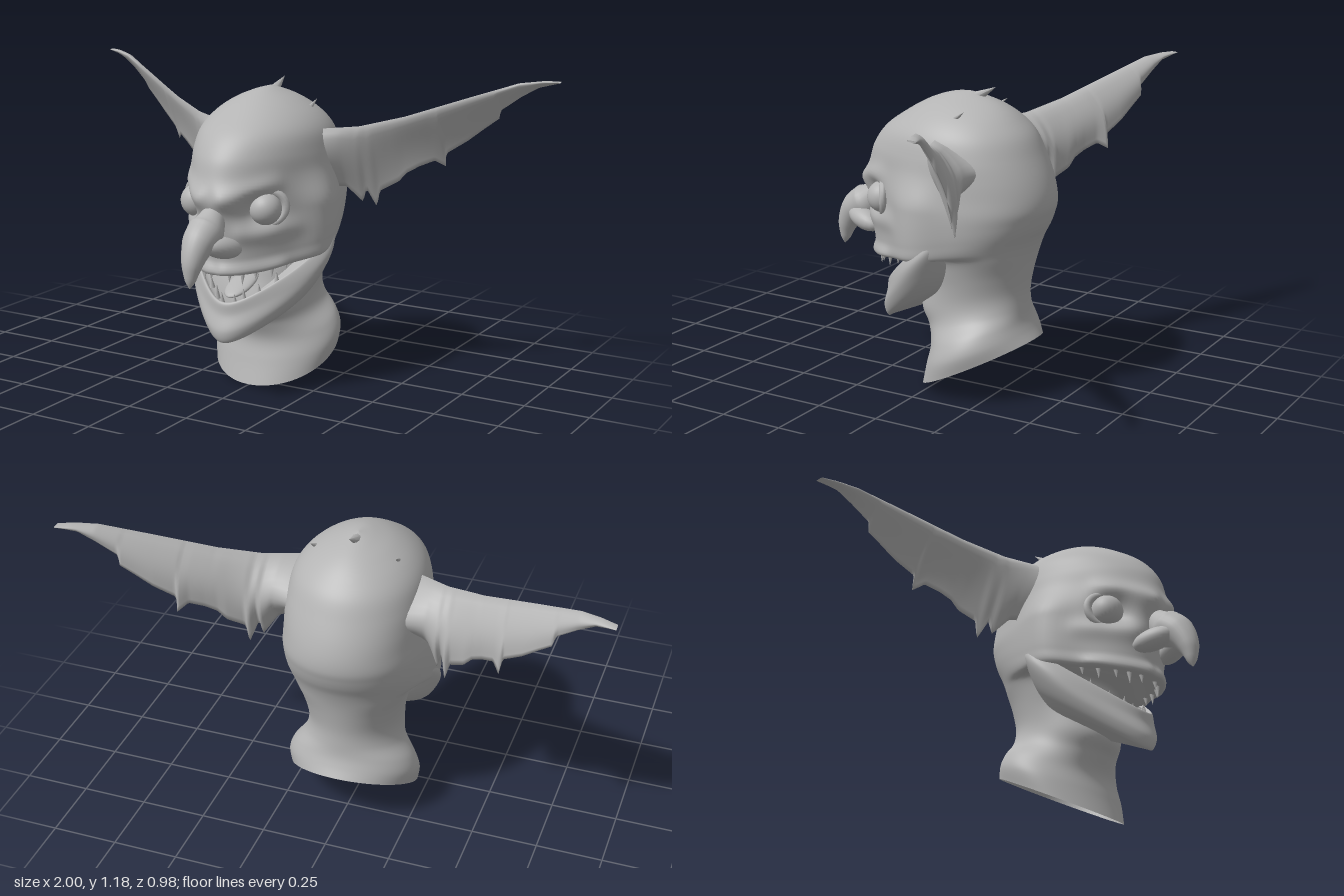
import * as THREE from 'three';

const skin = new THREE.MeshStandardMaterial({ color: 0xb4b4b4, side: THREE.DoubleSide });
skin.name = 'grey skin';

const V = (x, y, z) => new THREE.Vector3(x, y, z);

// A ring row is [front y, front z, back y, back z, half width, egg taper]
function ringPoint([fy, fz, by, bz, w, k], a) {
  const c = Math.cos(a), t = (1 - c) / 2;
  return V(w * Math.sin(a) * (1 - k * c), fy + (by - fy) * t, fz + (bz - fz) * t);
}

// Smooth in-between row at f (0..1)
function rowAt(rows, f) {
  const s = f * (rows.length - 1), i = Math.min(Math.floor(s), rows.length - 2), t = s - i;
  const r = n => rows[Math.max(0, Math.min(rows.length - 1, n))];
  return rows[0].map((_, n) => {
    const a = r(i - 1)[n], b = r(i)[n], c = r(i + 1)[n], d = r(i + 2)[n];
    return b + 0.5 * t * (c - a + t * (2 * a - 5 * b + 4 * c - d + t * (3 * (b - c) + d - a)));
  });
}

// Skin a grid of points; each ring is closed on itself
function skinGrid(rings) {
  const n = rings[0].length, pos = [], idx = [];
  rings.forEach(r => r.forEach(p => pos.push(p.x, p.y, p.z)));
  for (let i = 0; i < rings.length - 1; i++) for (let j = 0; j < n; j++) {
    const a = i * n + j, b = i * n + (j + 1) % n;
    idx.push(a, b, a + n, b, b + n, a + n);
  }
  const g = new THREE.BufferGeometry();
  g.setAttribute('position', new THREE.Float32BufferAttribute(pos, 3));
  g.setIndex(idx);
  g.computeVertexNormals();
  return g;
}

function loft(rows, steps, sides, shape = p => p) {
  const rings = [];
  for (let i = 0; i <= steps; i++) {
    const row = rowAt(rows, i / steps), ring = [];
    for (let j = 0; j < sides; j++) ring.push(shape(ringPoint(row, j / sides * Math.PI * 2)));
    rings.push(ring);
  }
  return skinGrid(rings);
}

// Soft ridges and hollows of the face: [from, to, radius, height]
const features = [
  [V(.145, .745, .24), V(.16, .745, .23), .06, -.045],
  [V(.05, .785, .32), V(.21, .84, .19), .035, .018],
  [V(.1, .655, .27), V(.24, .67, .12), .04, .014],
  [V(.03, .515, .28), V(.2, .53, .15), .025, .01],
  [V(.25, .74, -.02), V(.26, .56, -.02), .1, .042],
].map(([a, b, r, h]) => ({ line: new THREE.Line3(a, b), r, h }));

function sculpt(p) {
  const q = V(Math.abs(p.x), p.y, p.z), near = V(0, 0, 0);
  const out = V(p.x, 0, p.z + .05).normalize();
  let push = 0;
  for (const { line, r, h } of features) {
    line.closestPointToPoint(q, true, near);
    push += h * Math.exp(-near.distanceToSquared(q) / (r * r));
  }
  return p.addScaledVector(out, push);
}

const upperLip = [.495, .28, .62, -.39, .248, .14];
const headRows = [
  [.01, .06, .235, -.385, .245, 0], [.1, .035, .27, -.365, .255, 0], [.18, .02, .31, -.35, .235, 0],
  [.25, .045, .36, -.345, .19, 0], [.32, .08, .42, -.345, .178, 0], [.45, .05, .49, -.355, .19, 0],
  [.55, .055, .56, -.37, .215, .05], upperLip, [.55, .29, .67, -.415, .258, .14],
  [.62, .3, .71, -.43, .262, .15], [.7, .315, .75, -.44, .262, .17], [.78, .337, .8, -.437, .258, .18],
  [.86, .315, .86, -.42, .255, .17], [.93, .29, .93, -.39, .25, .15], [1, .235, 1, -.355, .232, .1],
  [1.06, .15, 1.05, -.31, .19, .05], [1.11, .06, 1.09, -.26, .125, 0], [1.14, -.03, 1.12, -.2, .055, 0],
  [1.148, -.11, 1.148, -.11, 0, 0],
];

// Lower jaw: underside, chin, lip, then down inside to the mouth floor
const lowerLip = [.376, .225, .7, -.18, .244, .45];
const jawRows = [
  [.3, .08, .42, -.12, 0, .45], [.24, .22, .45, -.13, .155, .45], [.228, .25, .52, -.16, .215, .45],
  [.27, .262, .6, -.18, .255, .45], [.33, .243, .67, -.19, .274, .45], [.372, .24, .72, -.19, .258, .45],
  lowerLip, [.345, .195, .66, -.15, .22, .45], [.33, .1, .5, -.12, 0, .45],
];

// Linear lookup in [x, y] pairs
function lookup(pts, x) {
  let i = 0;
  while (i < pts.length - 2 && x > pts[i + 1][0]) i++;
  const [x0, y0] = pts[i], [x1, y1] = pts[i + 1];
  return y0 + (y1 - y0) * (x - x0) / (x1 - x0);
}

const earTop = [[.2, 1], [.35, 1.012], [.5, 1.05], [.7, 1.12], [.87, 1.178], [.95, 1.187], [1, 1.186]];
const earBottom = [[.2, .78], [.29, .775], [.335, .712], [.35, .765], [.375, .69], [.39, .755], [.45, .79],
  [.48, .825], [.52, .85], [.57, .872], [.6, .848], [.608, .9], [.68, .95], [.74, 1], [.787, 1.037],
  [.797, 1.07], [.87, 1.125], [.93, 1.16], [1, 1.178]];

// Webbed ear: a rib along the top, thinning to a ragged lower edge
function earGeometry() {
  const rings = [], steps = 120, n = 12;
  for (let i = 0; i <= steps; i++) {
    const x = .2 + .8 * i / steps, top = lookup(earTop, x), bottom = lookup(earBottom, x);
    const root = Math.max(0, 1 - (x - .2) / .25) ** 2, ring = [];
    for (let j = 0; j < 2 * n; j++) {
      const front = j < n, v = front ? j / n : (2 * n - j) / n;
      const y = top + (bottom - top) * v, drop = top - y;
      const rib = Math.sqrt(Math.max(0, v * (1 - v))) * (1 - v) * .06 * (1.2 - x * .7);
      const thick = rib + Math.sin(Math.PI * v) * (.008 + (front ? .07 : .13) * root);
      const cup = -.02 * Math.sin(Math.PI * v) * Math.min(1, (1 - x) * 2);
      const z = -.09 - .5 * (x - .23) - drop * (.25 + .7 * (x - .3)) + cup;
      ring.push(V(x, y, z + (front ? thick : -thick)));
    }
    rings.push(ring);
  }
  return skinGrid(rings);
}

// Hooked nose: circles along a curve with changing radius
function noseGeometry() {
  const path = new THREE.CatmullRomCurve3([V(0, .76, .27), V(0, .68, .345), V(0, .64, .405),
    V(0, .575, .448), V(0, .485, .467)]);
  const radii = [[0, .03], [.3, .07], [.52, .06], [.78, .038], [.94, .018], [1, .001]];
  const rings = [];
  for (let i = 0; i <= 28; i++) {
    const u = i / 28, c = path.getPoint(u), t = path.getTangent(u), r = lookup(radii, u);
    const up = V(0, -t.z, t.y), ring = [];
    for (let j = 0; j < 24; j++) {
      const a = j / 24 * Math.PI * 2;
      ring.push(c.clone().addScaledVector(up, -r * Math.sin(a)).add(V(r * Math.cos(a), 0, 0)));
    }
    rings.push(ring);
  }
  return skinGrid(rings);
}

export function createModel() {
  const model = new THREE.Group();
  model.name = 'goblinHead';
  const add = (name, geometry, parent = model) => {
    const m = new THREE.Mesh(geometry, skin);
    m.name = name;
    parent.add(m);
    return m;
  };
  const spike = (name, from, to, r, parent) => {
    const d = to.clone().sub(from), m = add(name, new THREE.ConeGeometry(r, d.length(), 8), parent);
    m.position.copy(from).addScaledVector(d, .5);
    m.quaternion.setFromUnitVectors(V(0, 1, 0), d.normalize());
  };

  add('headAndNeck', loft(headRows, 126, 112, sculpt));
  add('lowerJaw', loft(jawRows, 64, 80));
  add('nose', noseGeometry());

  const tongue = add('tongue', new THREE.SphereGeometry(1, 24, 16));
  tongue.scale.set(.05, .018, .1);
  tongue.position.set(0, .425, .11);
  tongue.rotation.x = .35;

  // Paired parts
  const ear = earGeometry();
  for (const s of [1, -1]) {
    const side = s > 0 ? 'left' : 'right';
    add(side + 'Ear', ear).scale.x = s;

    const wing = add(side + 'Nostril', new THREE.SphereGeometry(1, 20, 14));
    wing.scale.set(.046, .04, .085);
    wing.position.set(s * .055, .615, .335);
    wing.rotation.set(-.25, -s * .35, 0);

    const eye = new THREE.Group();
    eye.name = side + 'Eye';
    eye.position.set(s * .147, .742, .187);
    eye.rotation.set(0, s * .55, s * .3);
    model.add(eye);
    add('eyeball', new THREE.SphereGeometry(.061, 28, 20), eye);
    const lid = add('eyelid', new THREE.TorusGeometry(.066, .014, 10, 32), eye);
    lid.scale.set(1.15, .95, 1);

    spike(side + 'Horn', V(s * .145, 1.04, -.09), V(s * .163, 1.1, -.17), .02);
  }
  spike('middleHorn', V(0, 1.12, -.12), V(0, 1.17, -.21), .024);

  // Teeth set just inside each lip
  const teeth = new THREE.Group();
  teeth.name = 'teeth';
  model.add(teeth);
  const row = (name, lip, angles, dir) => angles.forEach(([a, h]) => [1, -1].forEach(s => {
    const p = ringPoint(lip, s * a);
    p.x *= .92;
    p.z -= .015;
    spike(name, p.clone().add(V(0, -dir * .015, 0)), p.clone().add(V(0, dir * h, .004)), .012, teeth);
  }));
  row('upperTooth', upperLip, [[.2, .03], [.42, .045], [.62, .03], [.85, .04], [1.05, .028]], -1);
  row('lowerTooth', lowerLip, [[.22, .03], [.45, .04], [.75, .028], [1.05, .035]], 1);

  return model;
}
